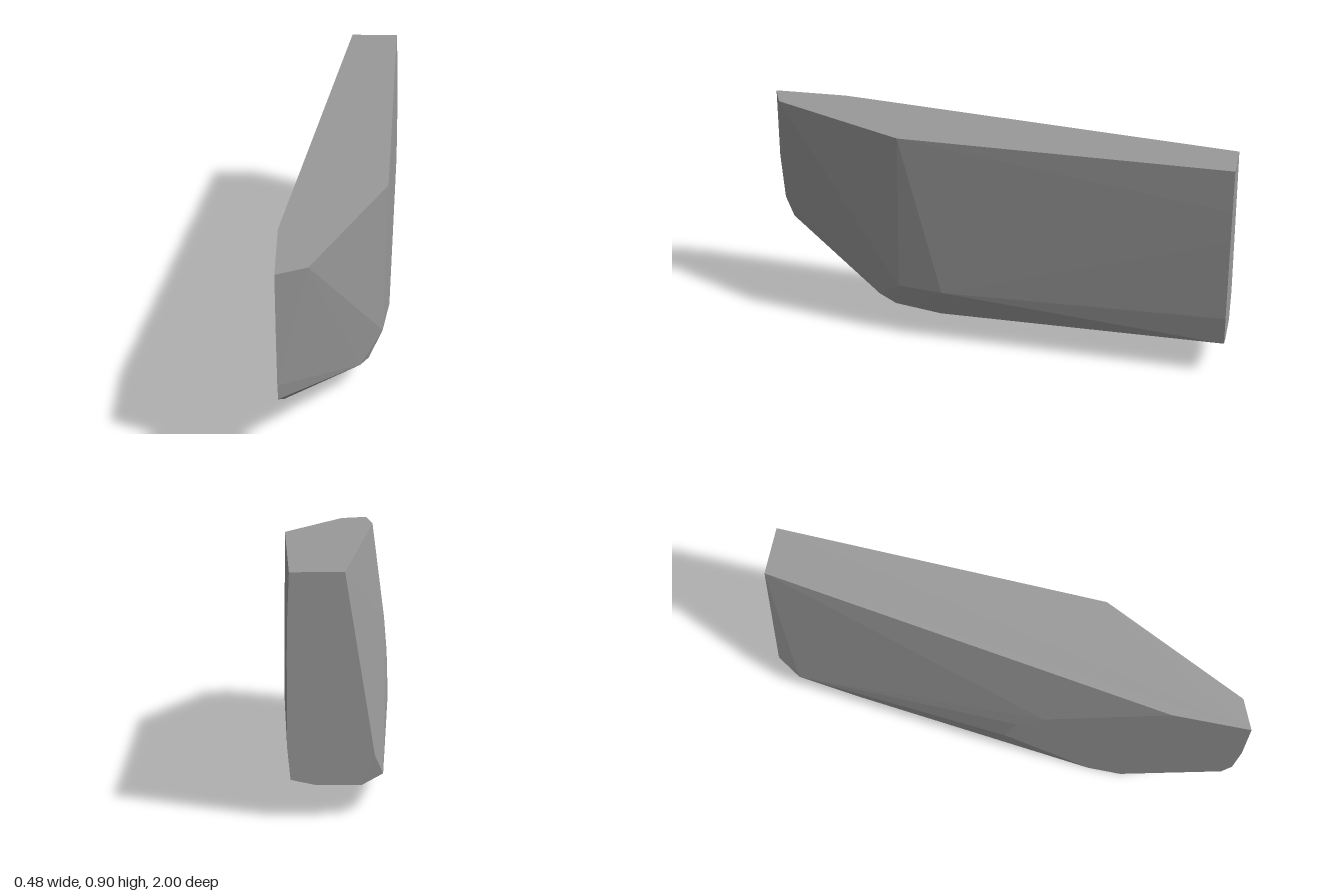
import * as THREE from 'three';
import { ConvexGeometry } from 'three/addons/geometries/ConvexGeometry.js';

export function createModel() {
  const model = new THREE.Group();
  model.name = 'facetedBlock';

  const stone = new THREE.MeshStandardMaterial({ color: 0x999999 });
  stone.name = 'stone grey';

  // Corners of the convex block, grouped by the region they bound
  const corners = {
    top: [[-0.24, 0.9, 1], [-0.12, 0.9, 0.95], [0.175, 0.9, 0.36],
      [0.231, 0.9, -1], [0.03, 0.9, -1], [-0.24, 0.9, 0.69]],
    nose: [[-0.24, 0.6, 1], [-0.24, 0.4, 0.985], [-0.24, 0.31, 0.95]],
    flatSide: [[-0.24, 0.55, 0.19], [-0.24, 0.42, 0.08], [-0.24, 0.24, 0.03]],
    slopedSide: [[0.16, 0.225, 0.37], [0.19, 0.225, 0.18]],
    keel: [[-0.24, 0, 0.54], [-0.24, 0, 0.4], [-0.03, 0.04, 0.22], [-0.03, 0.037, 0.04],
      [0.07, 0.13, 0.48], [0.105, 0.11, 0.4], [0.12, 0.09, 0.2],
      [-0.14, 0.08, -0.65], [-0.12, 0.135, -0.91]],
    backEnd: [[0.238, 0.73, -1], [0.24, 0.6, -1], [0.24, 0.26, -1], [0.228, 0.14, -1],
      [0.14, 0.12, -1], [-0.03, 0.115, -1], [-0.08, 0.225, -1]],
  };

  // Flat-faced solid wrapped around the corners
  const points = Object.values(corners).flat().map((p) => new THREE.Vector3(...p));
  const block = new THREE.Mesh(new ConvexGeometry(points), stone);
  block.name = 'block';
  model.add(block);
  return model;
}
